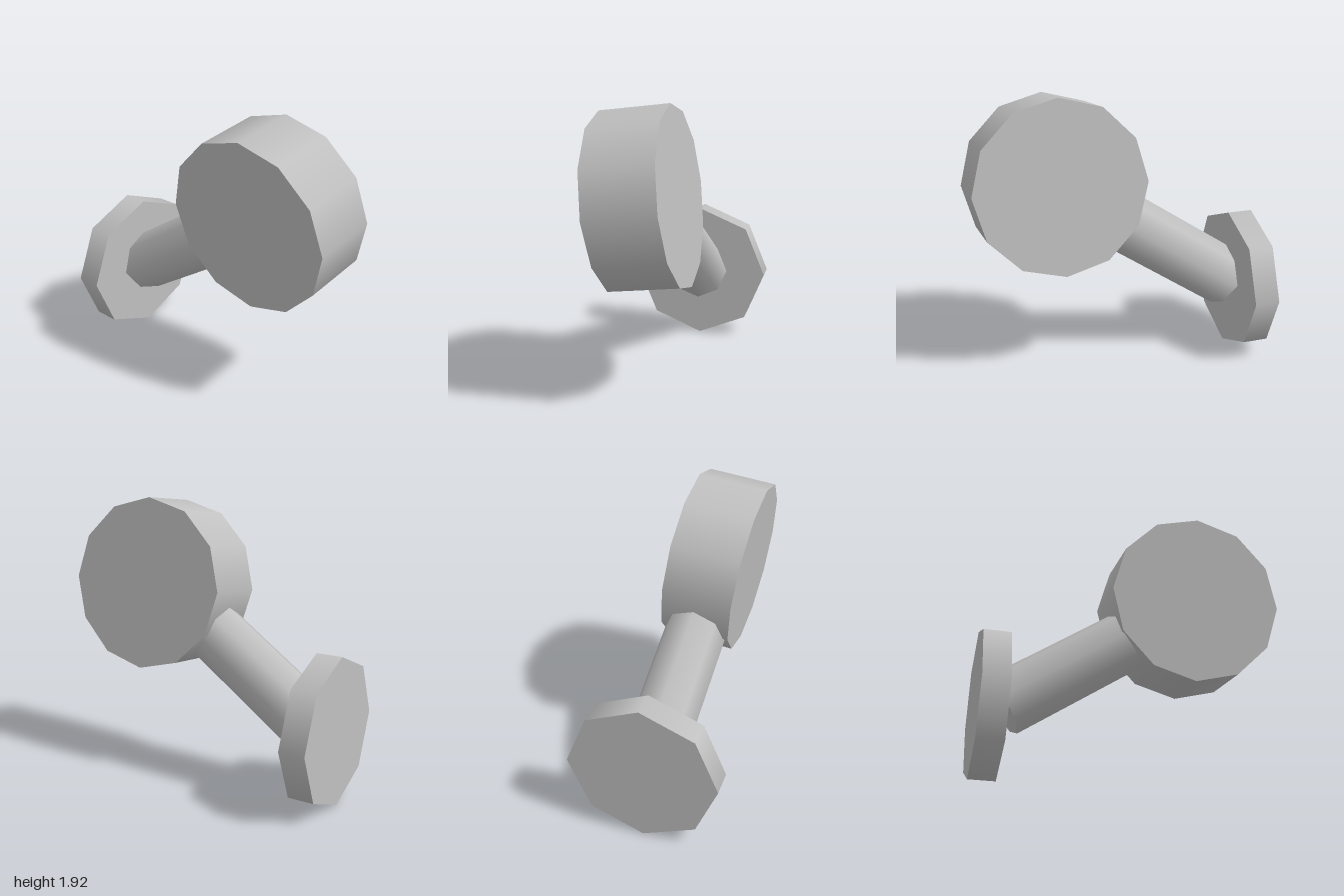
import * as THREE from 'three';

export function createModel() {
  const model = new THREE.Group();
  const grey = new THREE.MeshStandardMaterial({ color: 0xc0c0c0 });
  grey.name = 'grey';

  const add = (name, geometry) => {
    const mesh = new THREE.Mesh(geometry, grey);
    mesh.name = name;
    model.add(mesh);
    return mesh;
  };

  const armStart = new THREE.Vector3(-0.825, 0.5, 0);
  const headCentre = new THREE.Vector3(0.414, 1.312, 0.093);

  // Octagonal mounting plate, facing +x
  const plate = add('mountingPlate', new THREE.CylinderGeometry(0.5, 0.5, 0.175, 8));
  plate.rotation.z = -Math.PI / 2;
  plate.position.set(-0.9125, 0.5, 0);

  // Slanted arm from the plate into the middle of the head
  const span = headCentre.clone().sub(armStart);
  const arm = add('arm', new THREE.CylinderGeometry(0.21, 0.21, span.length(), 8));
  arm.quaternion.setFromUnitVectors(new THREE.Vector3(0, 1, 0), span.clone().normalize());
  arm.position.copy(armStart).addScaledVector(span, 0.5);

  // Twelve-sided head, tilted slightly downwards
  const head = add('head', new THREE.CylinderGeometry(0.585, 0.585, 0.465, 12));
  head.rotation.x = Math.PI / 2 + 0.12;
  head.position.copy(headCentre);

  return model;
}
